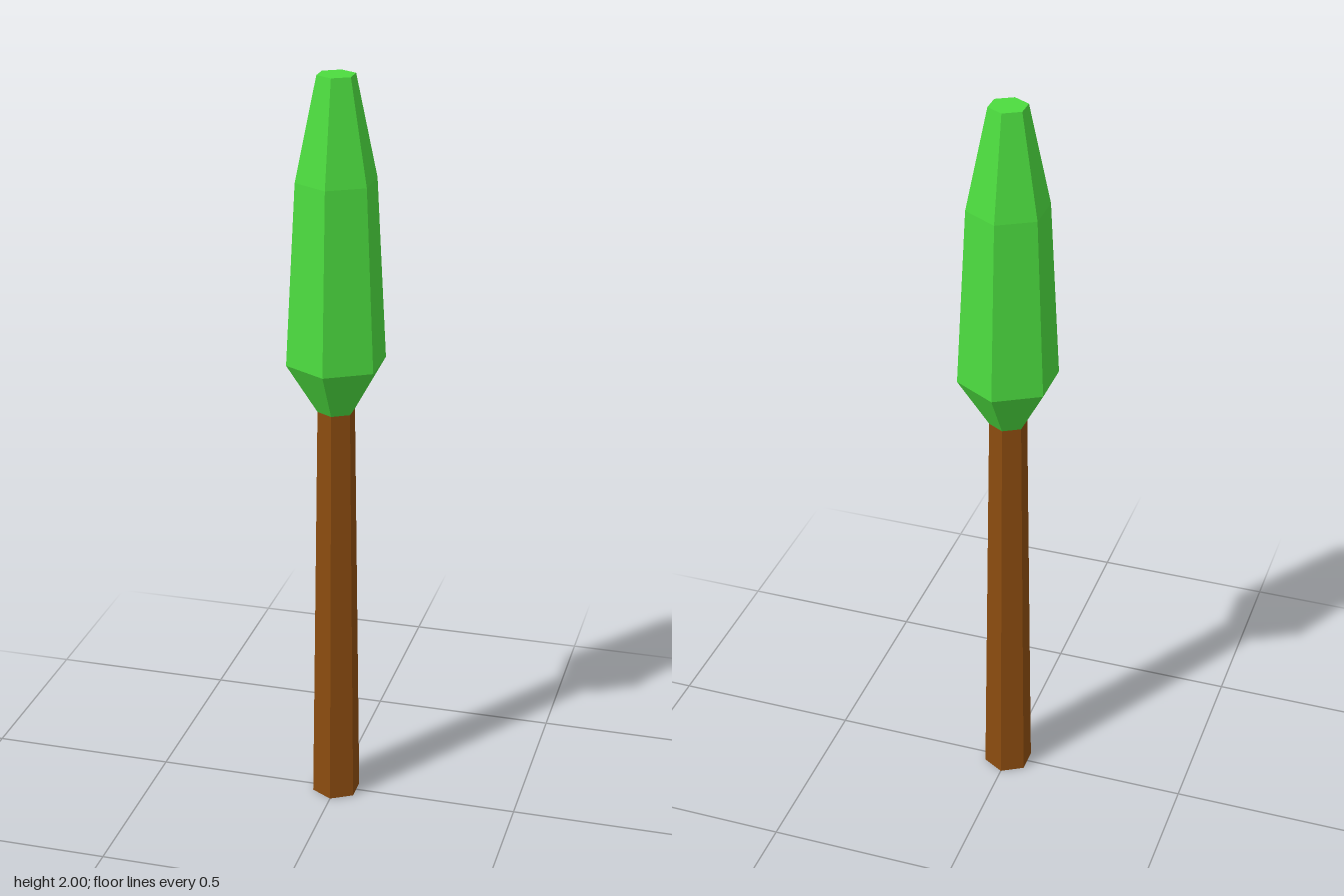
import * as THREE from 'three';

const SIDES = 6;

// Six-sided turned part from [radius, height] pairs, listed bottom to top
function turned(name, profile, material) {
  const points = profile.map(([r, y]) => new THREE.Vector2(r, y));
  const mesh = new THREE.Mesh(new THREE.LatheGeometry(points, SIDES), material);
  mesh.name = name;
  return mesh;
}

export function createModel() {
  const bark = new THREE.MeshStandardMaterial({ name: 'bark brown', color: 0x8b4c0f, flatShading: true, side: THREE.DoubleSide });
  const leaf = new THREE.MeshStandardMaterial({ name: 'leaf green', color: 0x4cdb3f, flatShading: true, side: THREE.DoubleSide });

  const tree = new THREE.Group();
  tree.name = 'tree';

  // Hollow tapering trunk, open at the foot
  tree.add(turned('trunk', [[0.066, 0], [0.05, 1.125]], bark));

  // Tall faceted crown with a flat tip
  tree.add(turned('crown', [[0.049, 1.122], [0.132, 1.258], [0.106, 1.735], [0.05, 2], [0, 2]], leaf));

  return tree;
}
